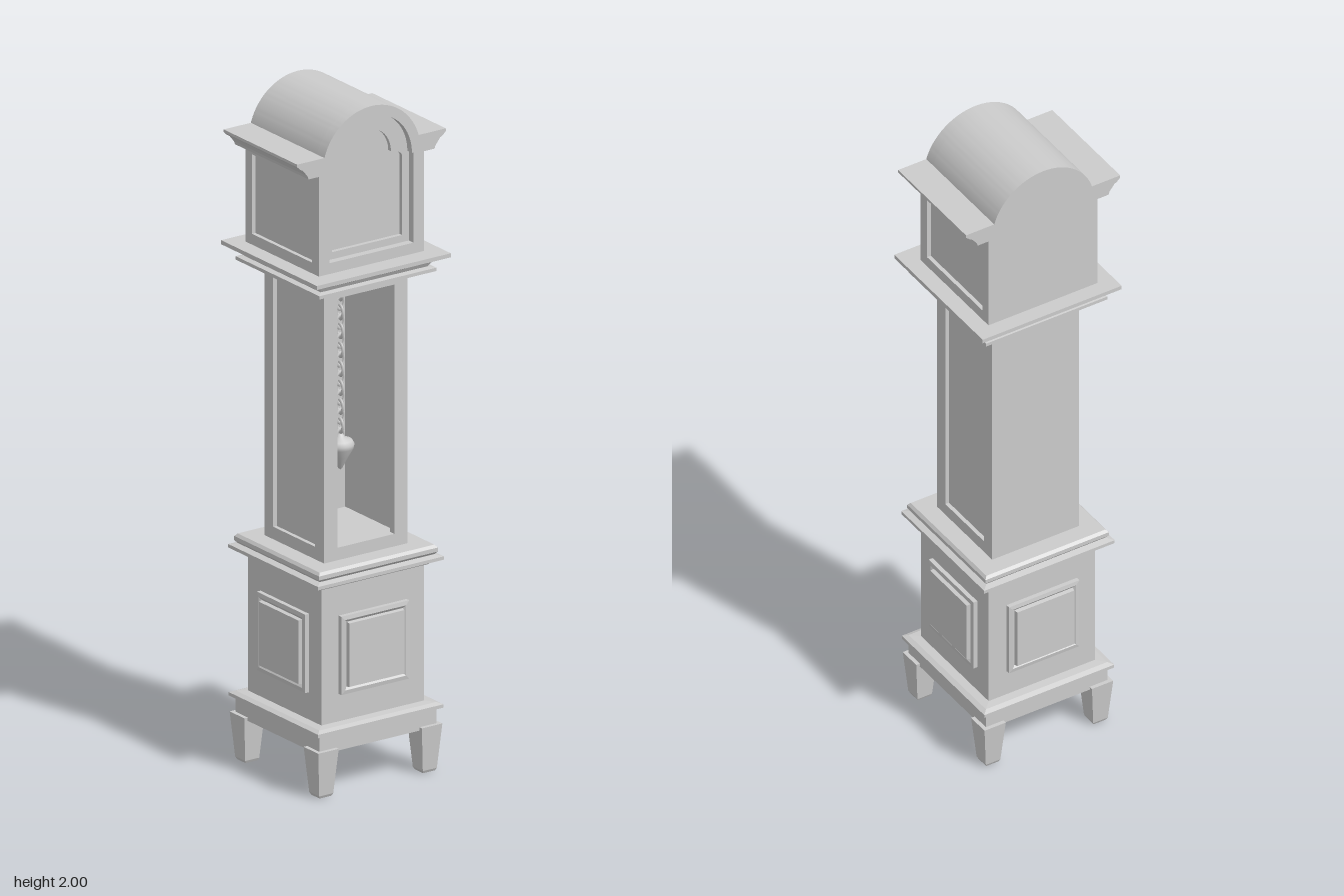
import * as THREE from 'three';
import { toCreasedNormals } from 'three/addons/utils/BufferGeometryUtils.js';

const flat = new THREE.MeshStandardMaterial({ color: 0xcccccc, flatShading: true });
const smooth = new THREE.MeshStandardMaterial({ color: 0xcccccc });

function add(parent, name, geometry, material = flat) {
  const mesh = new THREE.Mesh(geometry, material);
  mesh.name = name;
  parent.add(mesh);
  return mesh;
}

// Box given by its lower and upper corners
function block(parent, name, [x0, y0, z0], [x1, y1, z1]) {
  const mesh = add(parent, name, new THREE.BoxGeometry(x1 - x0, y1 - y0, z1 - z0));
  mesh.position.set((x0 + x1) / 2, (y0 + y1) / 2, (z0 + z1) / 2);
  return mesh;
}

// Square moulding with mitred corners, from [half width, y] points going up
function squareTurned(points) {
  const pts = points.map(([w, y]) => new THREE.Vector2(w * Math.SQRT2, y));
  return new THREE.LatheGeometry(pts, 4).rotateY(Math.PI / 4);
}

function rectShape(x0, y0, x1, y1) {
  return new THREE.Shape([[x0, y0], [x1, y0], [x1, y1], [x0, y1]].map(p => new THREE.Vector2(...p)));
}

// Upright panel with a round head, optionally with shoulders
function archShape(half, bottom, spring, radius, rise = 0) {
  const s = new THREE.Shape();
  s.moveTo(-half, bottom);
  s.lineTo(half, bottom);
  s.lineTo(half, spring);
  if (rise) s.quadraticCurveTo(half - 0.005, spring + rise * 0.8, radius, spring + rise);
  else s.lineTo(radius, spring);
  s.absarc(0, spring + rise, radius, 0, Math.PI, false);
  if (rise) s.quadraticCurveTo(-half + 0.005, spring + rise * 0.8, -half, spring);
  else s.lineTo(-half, spring);
  s.closePath();
  return s;
}

function extrude(shape, depth, hole) {
  if (hole) shape.holes.push(hole);
  return new THREE.ExtrudeGeometry(shape, { depth, bevelEnabled: false, curveSegments: 32 });
}

// Extrusion running along x from x0 to x1
function alongX(shape, x0, x1, hole) {
  const g = extrude(shape, x1 - x0, hole).rotateY(Math.PI / 2).translate(x0, 0, 0);
  return toCreasedNormals(g, 0.5);
}

function buildBase(group) {
  const base = new THREE.Group();
  base.name = 'base';
  group.add(base);

  // Tapered feet
  const leg = squareTurned([[0, 0], [0.02, 0], [0.024, 0.008], [0.035, 0.14], [0, 0.14]]);
  for (const sx of [-1, 1]) for (const sz of [-1, 1]) {
    add(base, 'foot', leg).position.set(sx * 0.177, 0, sz * 0.177);
  }
  add(base, 'baseMoulding', squareTurned([[0, 0.13], [0.2, 0.13], [0.2, 0.185],
    [0.214, 0.187], [0.214, 0.197], [0.2, 0.203], [0.175, 0.205], [0, 0.205]]));
  block(base, 'plinth', [-0.175, 0.2, -0.175], [0.175, 0.62, 0.175]);

  // Raised, bevelled panels on all four faces
  const panel = squareTurned([[0, 0], [0.116, 0], [0.116, 0.014], [0.104, 0.016],
    [0.096, 0.01], [0.094, 0.022], [0, 0.022]]).rotateX(Math.PI / 2);
  for (let i = 0; i < 4; i++) {
    const side = new THREE.Group();
    side.name = 'plinthPanel';
    side.rotation.y = i * Math.PI / 2;
    add(side, 'raisedPanel', panel).position.set(0, 0.402, 0.174);
    base.add(side);
  }
  add(base, 'waistMoulding', squareTurned([[0, 0.61], [0.185, 0.61], [0.192, 0.62], [0.215, 0.625],
    [0.215, 0.635], [0.196, 0.64], [0.203, 0.648], [0.203, 0.66], [0.196, 0.668], [0, 0.668]]));
}

function buildTrunk(group) {
  const trunk = new THREE.Group();
  trunk.name = 'trunk';
  group.add(trunk);
  const h = 0.143, y0 = 0.665, y1 = 1.485;

  block(trunk, 'trunkBack', [-h, y0, -h], [-h + 0.015, y1, h]);
  // Open door frame facing +x
  add(trunk, 'doorFrame', alongX(rectShape(-h, y0, h, y1), h - 0.02, h, rectShape(-0.097, 0.705, 0.097, 1.443)));
  // Side walls with recessed panels
  for (const s of [-1, 1]) {
    const frame = add(trunk, 'sideFrame', extrude(rectShape(-h, y0, h, y1), 0.012, rectShape(-0.1, 0.705, 0.1, 1.443)));
    frame.position.z = s > 0 ? h - 0.012 : -h;
    const z = s * (h - 0.016);
    block(trunk, 'sidePanel', [-h + 0.01, y0, z - 0.004], [h - 0.01, y1, z + 0.004]);
  }
  block(trunk, 'trunkFloor', [-0.135, 0.66, -0.135], [0.135, 0.7, 0.135]);
  block(trunk, 'trunkCeiling', [-0.135, 1.445, -0.135], [0.135, 1.485, 0.135]);

  // Hanging chain of alternating links
  const chain = new THREE.Group();
  chain.name = 'chain';
  chain.position.x = 0.02;
  trunk.add(chain);
  const link = new THREE.TorusGeometry(0.0125, 0.004, 6, 16).scale(1, 1.5, 1);
  for (let i = 0; i < 17; i++) {
    const m = add(chain, 'chainLink', link, smooth);
    m.position.y = 1.43 - i * 0.028;
    m.rotation.y = i % 2 ? 0 : Math.PI / 2;
  }
  const weight = [[0, 0.88], [0.006, 0.885], [0.024, 0.92], [0.038, 0.945], [0.04, 0.957],
    [0.034, 0.968], [0.014, 0.975], [0.008, 0.985], [0, 0.987]].map(p => new THREE.Vector2(...p));
  add(chain, 'weight', new THREE.LatheGeometry(weight, 24), smooth);
}

function buildHood(group) {
  const hood = new THREE.Group();
  hood.name = 'hood';
  group.add(hood);
  const back = -0.182, front = 0.17, spring = 1.832;

  add(hood, 'hoodMoulding', squareTurned([[0, 1.478], [0.2, 1.478], [0.2, 1.488], [0.183, 1.491],
    [0.19, 1.503], [0.213, 1.518], [0.229, 1.521], [0.229, 1.533], [0, 1.533]]));

  // Solid arched body, then the front frame around the dial
  add(hood, 'hoodBody', alongX(archShape(0.168, 1.53, spring, 0.168), back, front - 0.035), smooth);
  add(hood, 'hoodFrontFrame', alongX(archShape(0.168, 1.53, spring, 0.168), front - 0.036, front,
    archShape(0.143, 1.565, spring, 0.138)), smooth);
  add(hood, 'dialSurround', alongX(archShape(0.143, 1.565, spring, 0.138), front - 0.036, front - 0.022,
    archShape(0.12, 1.586, 1.822, 0.082, 0.02)), smooth);

  // Side frames with recessed panels, and the flared eaves
  const eave = new THREE.Shape([[0.15, 1.828], [0.215, 1.828], [0.219, 1.838], [0.235, 1.858],
    [0.243, 1.862], [0.254, 1.872], [0.254, 1.88], [0.15, 1.88]].map(p => new THREE.Vector2(...p)));
  const eaveGeometry = alongX(eave, back, front);
  for (const s of [-1, 1]) {
    const frame = add(hood, 'hoodSideFrame', extrude(rectShape(back, 1.53, front, 1.835), 0.014,
      rectShape(-0.15, 1.565, 0.136, 1.8)));
    frame.position.z = s > 0 ? 0.166 : -0.18;
    const e = add(hood, 'eave', eaveGeometry);
    // Turn about the middle of the hood so both ends stay flush
    if (s > 0) {
      e.rotation.y = Math.PI;
      e.position.x = back + front;
    }
  }
}

export function createModel() {
  const group = new THREE.Group();
  group.name = 'longcaseClock';
  buildBase(group);
  buildTrunk(group);
  buildHood(group);
  return group;
}
